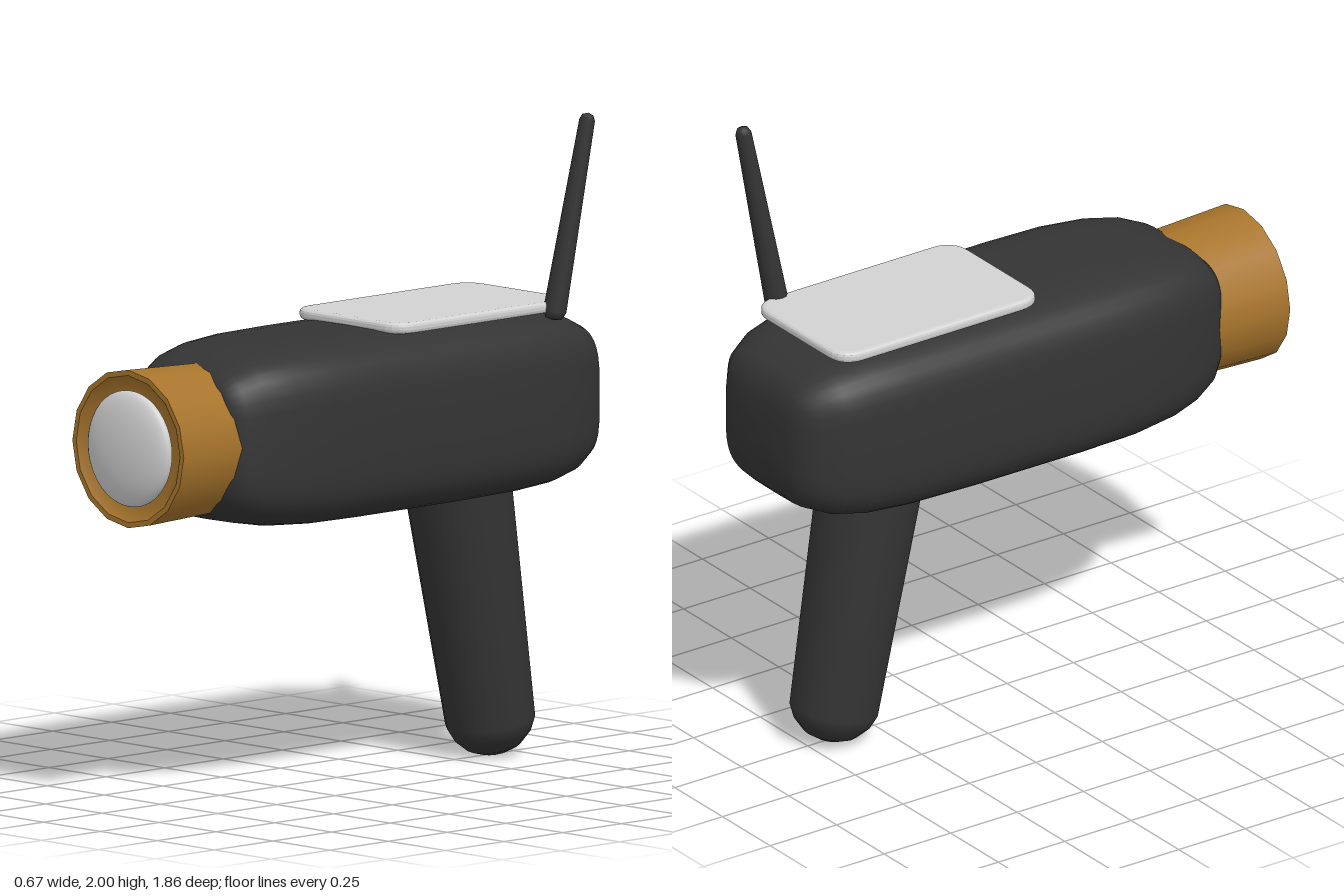
import * as THREE from 'three';

const AXIS_Y = 1.115; // height of the barrel's centre line

// Lathe profile (radius, height) spun about y
function lathe(points, sides) {
  return new THREE.LatheGeometry(points.map(([r, h]) => new THREE.Vector2(r, h)), sides);
}

// Loft of rounded-square cross-sections along z, closed at both ends
function loft(sections, sides, power) {
  const pos = [], index = [];
  const rounded = (v) => Math.sign(v) * Math.pow(Math.abs(v), 2 / power);
  for (const [z, w, h] of sections) {
    for (let i = 0; i < sides; i++) {
      const a = (i / sides) * Math.PI * 2;
      pos.push(w * rounded(Math.cos(a)), h * rounded(Math.sin(a)), z);
    }
  }
  for (let s = 0; s < sections.length - 1; s++) {
    for (let i = 0; i < sides; i++) {
      const j = (i + 1) % sides;
      const a = s * sides + i, b = s * sides + j;
      index.push(a, b, b + sides, a, b + sides, a + sides);
    }
  }
  // End caps fan out from a centre point
  const last = (sections.length - 1) * sides;
  const back = pos.length / 3, front = back + 1;
  pos.push(0, 0, sections[0][0], 0, 0, sections[sections.length - 1][0]);
  for (let i = 0; i < sides; i++) {
    const j = (i + 1) % sides;
    index.push(back, j, i, front, last + i, last + j);
  }
  const geo = new THREE.BufferGeometry();
  geo.setAttribute('position', new THREE.Float32BufferAttribute(pos, 3));
  geo.setIndex(index);
  geo.computeVertexNormals();
  return geo;
}

function roundedRect(w, d, r) {
  const s = new THREE.Shape();
  s.moveTo(-w + r, -d);
  s.lineTo(w - r, -d);
  s.quadraticCurveTo(w, -d, w, -d + r);
  s.lineTo(w, d - r);
  s.quadraticCurveTo(w, d, w - r, d);
  s.lineTo(-w + r, d);
  s.quadraticCurveTo(-w, d, -w, d - r);
  s.lineTo(-w, -d + r);
  s.quadraticCurveTo(-w, -d, -w + r, -d);
  return s;
}

export function createModel() {
  const group = new THREE.Group();
  const charcoal = new THREE.MeshStandardMaterial({ color: 0x343434 });
  const bronze = new THREE.MeshStandardMaterial({ color: 0xa8752c });
  const paleGrey = new THREE.MeshStandardMaterial({ color: 0xd2d2d2 });

  const add = (name, geo, mat, x, y, z) => {
    const mesh = new THREE.Mesh(geo, mat);
    mesh.name = name;
    mesh.position.set(x, y, z);
    group.add(mesh);
    return mesh;
  };
  // Turns a part built along y so that it points along a direction
  const aim = (mesh, x, y, z) => mesh.quaternion.setFromUnitVectors(
    new THREE.Vector3(0, 1, 0), new THREE.Vector3(x, y, z).normalize());

  // Soft boxy body: z, half width, half height
  add('body', loft([
    [-0.93, 0.14, 0.11], [-0.915, 0.2, 0.18], [-0.875, 0.25, 0.217], [-0.8, 0.288, 0.25],
    [-0.7, 0.311, 0.27], [-0.55, 0.326, 0.279], [-0.3, 0.332, 0.283], [0.1, 0.333, 0.284],
    [0.3, 0.327, 0.282], [0.45, 0.304, 0.273], [0.55, 0.275, 0.255], [0.62, 0.245, 0.225],
    [0.655, 0.215, 0.19], [0.668, 0.17, 0.14],
  ], 40, 4), charcoal, 0, AXIS_Y, 0);

  // Flared collar with a thin rim and a shallow dished inside
  const collar = new THREE.Group();
  collar.name = 'collar';
  collar.position.set(0, AXIS_Y, 0);
  collar.rotation.x = Math.PI / 2;
  const rings = [
    ['collarWall', [[0.234, 0.6], [0.245, 0.89]]],
    ['collarRim', [[0.245, 0.89], [0.228, 0.89]]],
    ['collarDish', [[0.228, 0.89], [0.18, 0.85], [0, 0.85]]],
  ];
  for (const [name, profile] of rings) {
    const mesh = new THREE.Mesh(lathe(profile, 16), bronze);
    mesh.name = name;
    collar.add(mesh);
  }
  group.add(collar);

  // Domed lens
  const lens = add('lens', new THREE.SphereGeometry(0.18, 32, 20), paleGrey, 0, AXIS_Y, 0.882);
  lens.scale.z = 0.045 / 0.18;

  // Slanted grip with a rounded foot
  const grip = add('grip', lathe([
    [0, -0.1], [0.045, -0.095], [0.085, -0.077], [0.12, -0.04], [0.14, 0.005], [0.167, 0.76], [0.169, 0.85],
  ], 14), charcoal, 0, 0.101, -0.652);
  aim(grip, 0, 0.73, 0.135);

  // Thin screen plate with softened edges
  const plate = new THREE.ExtrudeGeometry(roundedRect(0.225, 0.365, 0.07), {
    depth: 0.01, bevelEnabled: true, bevelThickness: 0.0125, bevelSize: 0.015,
    bevelSegments: 3, curveSegments: 6,
  });
  plate.rotateX(-Math.PI / 2);
  add('screen', plate, paleGrey, 0, 1.402, -0.41);

  // Tapered aerial with rounded ends
  const aerial = add('aerial', lathe([
    [0, -0.012], [0.026, -0.006], [0.037, 0.018], [0.025, 0.612], [0.018, 0.628], [0, 0.635],
  ], 12), charcoal, 0.24, 1.378, -0.69);
  aim(aerial, 0.047, 0.62, -0.1);

  return group;
}
